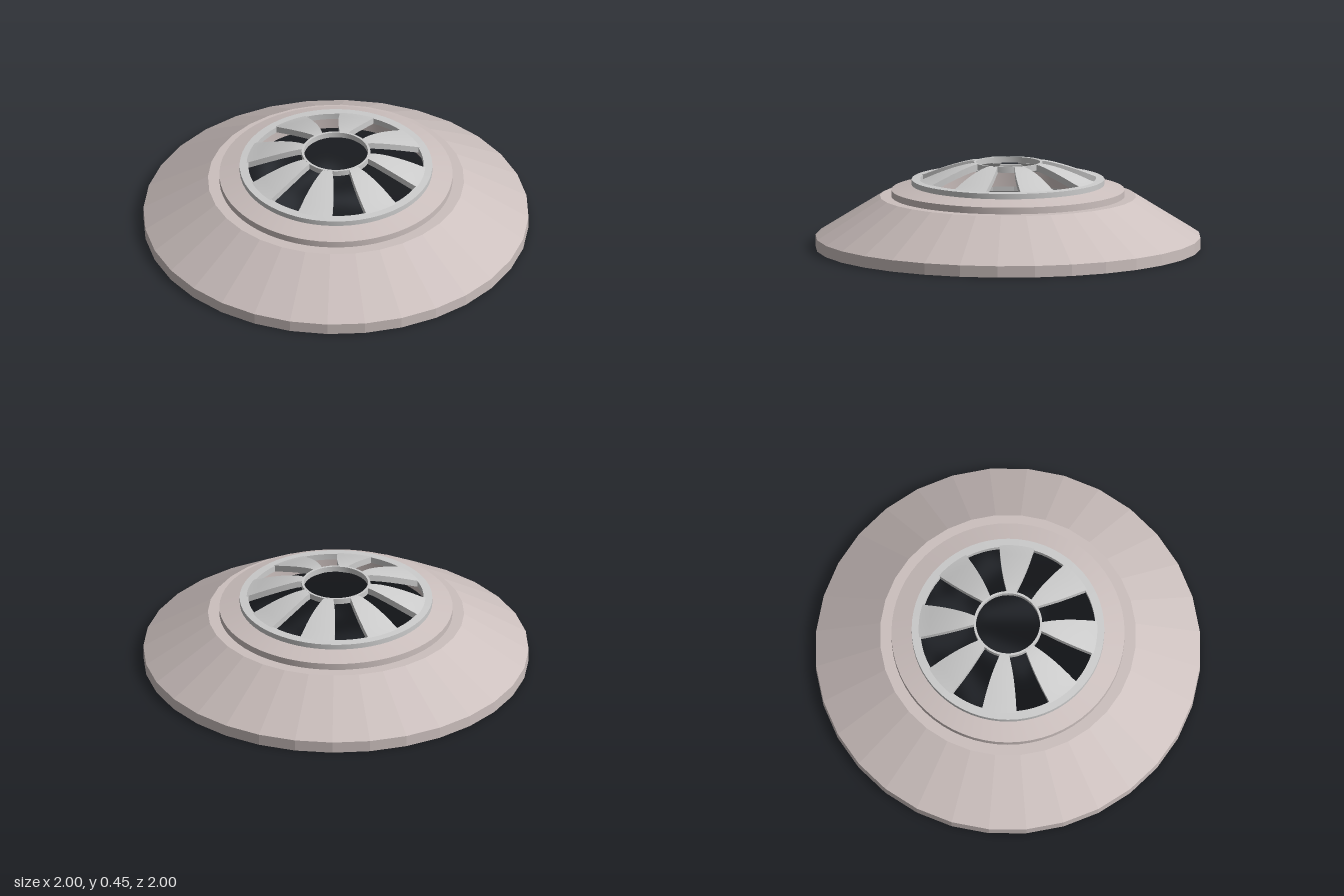
import * as THREE from 'three';
import { toCreasedNormals } from 'three/addons/utils/BufferGeometryUtils.js';

const SPOKES = 8;
const THICK = 0.035;

// Revolves a profile of [radius, y] points, keeping hard edges sharp
function ring(name, profile, segments, material, flat = false) {
  const geo = new THREE.LatheGeometry(profile.map(p => new THREE.Vector2(p[0], p[1])), segments);
  const mesh = new THREE.Mesh(flat ? geo : toCreasedNormals(geo, 0.25), material);
  mesh.name = name;
  return mesh;
}

// Height of the domed grille at a given radius
function domeHeight(r) {
  const t = THREE.MathUtils.clamp((r - 0.18) / 0.28, 0, 1);
  return 0.45 - 0.088 * Math.pow(t, 1.35);
}

// Half the angle a spoke covers at a given radius, leaving flared windows between
function spokeHalfAngle(r) {
  const t = THREE.MathUtils.clamp((r - 0.18) / 0.28, 0, 1);
  const windowHalfWidth = 0.046 + 0.044 * Math.pow(t, 1.6);
  return Math.PI / SPOKES - Math.asin(windowHalfWidth / Math.max(r, 0.18));
}

// One spoke: a box bent over the dome, wider toward the rim
function spokeGeometry() {
  const geo = new THREE.BoxGeometry(1, 1, 1, 10, 1, 6);
  const pos = geo.attributes.position;
  for (let i = 0; i < pos.count; i++) {
    const r = THREE.MathUtils.lerp(0.172, 0.465, pos.getX(i) + 0.5);
    const angle = pos.getZ(i) * 2 * spokeHalfAngle(r);
    const y = domeHeight(r) + (pos.getY(i) - 0.5) * THICK;
    pos.setXYZ(i, r * Math.cos(angle), y, r * Math.sin(angle));
  }
  return toCreasedNormals(geo, 0.5);
}

export function createModel() {
  const model = new THREE.Group();
  model.name = 'ventedCap';

  const warm = new THREE.MeshStandardMaterial({ color: 0xccc0be });
  const warmFlat = new THREE.MeshStandardMaterial({ color: 0xccc0be, flatShading: true });
  const grey = new THREE.MeshStandardMaterial({ color: 0xcccccc });
  const greyFlat = new THREE.MeshStandardMaterial({ color: 0xcccccc, flatShading: true });

  // Thick faceted skirt: outer shell and the sloping underside meeting it at the rim
  model.add(ring('skirt', [[1, 0], [1, 0.06], [0.665, 0.27], [0.55, 0.27]], 32, warmFlat, true));
  model.add(ring('skirtUnderside', [[0.55, 0.27], [0.55, 0.21], [0.665, 0.21], [1, 0]], 32, greyFlat, true));

  // Raised collar whose inner lip hangs inside the skirt opening, leaving a narrow gap
  model.add(ring('collar', [
    [0.5, 0.24], [0.532, 0.24], [0.532, 0.27], [0.605, 0.27],
    [0.605, 0.305], [0.5, 0.332], [0.5, 0.24],
  ], 64, warm));

  // Domed vent grille: rim, hub and spokes
  const grille = new THREE.Group();
  grille.name = 'grille';
  grille.add(ring('rim', [
    [0.455, 0.33], [0.5, 0.33], [0.5, 0.36], [0.455, 0.363], [0.455, 0.33],
  ], 64, grey));
  grille.add(ring('hub', [
    [0.166, 0.42], [0.178, 0.42], [0.178, 0.45], [0.166, 0.45], [0.166, 0.42],
  ], 64, grey));

  const spoke = spokeGeometry();
  for (let i = 0; i < SPOKES; i++) {
    const mesh = new THREE.Mesh(spoke, grey);
    mesh.name = `spoke${i + 1}`;
    mesh.rotation.y = ((i + 0.5) / SPOKES) * Math.PI * 2;
    grille.add(mesh);
  }
  model.add(grille);

  return model;
}
